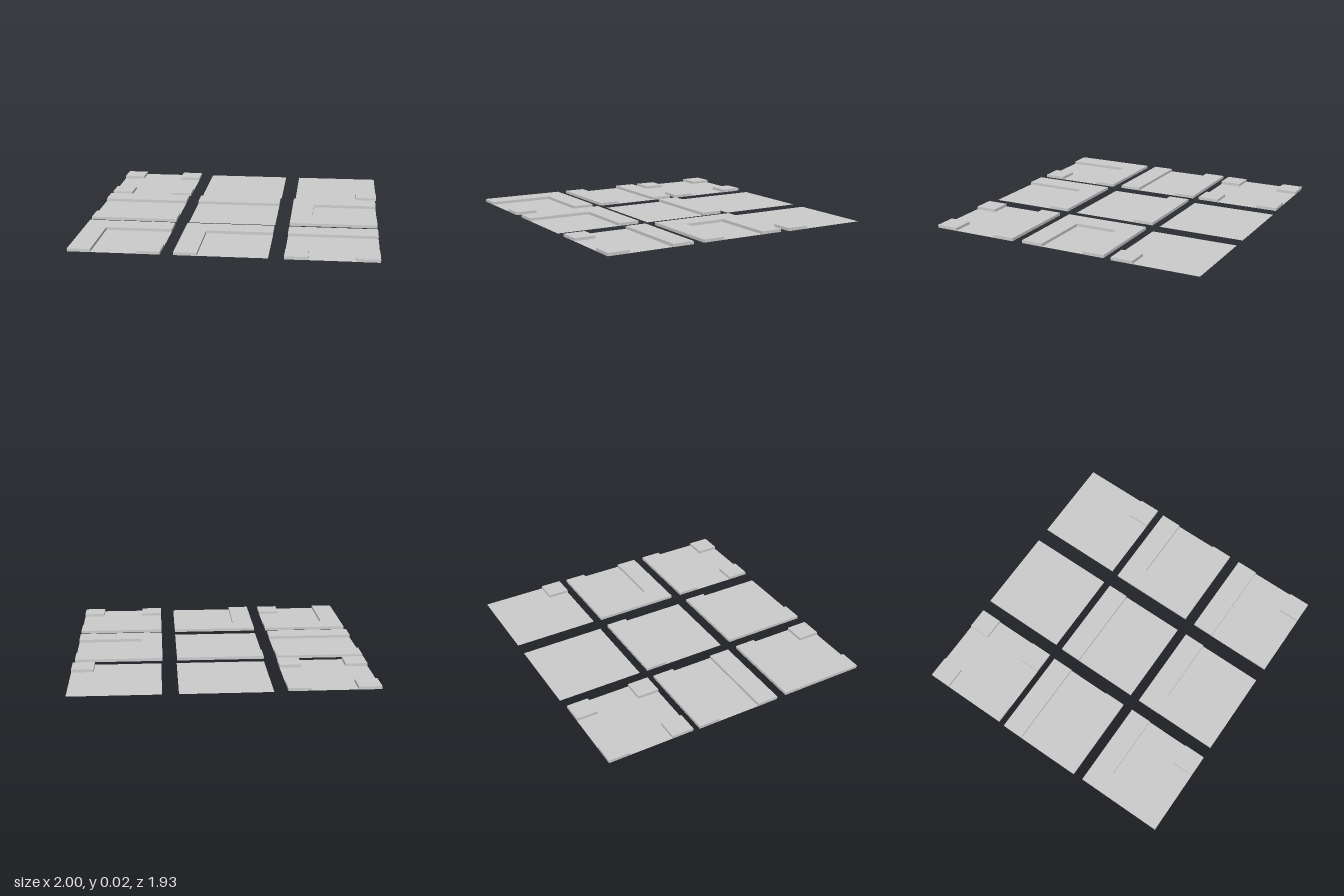
import * as THREE from 'three';

const H = 0.3;      // half a tile
const K = 0.15;     // inner edge of the pavement
const CURB = 0.02;  // pavement height

const material = new THREE.MeshStandardMaterial({ color: 0xcccccc, flatShading: true });
const roadMaterial = new THREE.MeshStandardMaterial({ color: 0xcccccc, side: THREE.DoubleSide });

// Pavement outlines as [x, z] points around the tile centre
const corner = (sx, sz) => [[sx * K, sz * K], [sx * H, sz * K], [sx * H, sz * H], [sx * K, sz * H]];
const strip = (sz) => [[-H, sz * K], [H, sz * K], [H, sz * H], [-H, sz * H]];
const bend = [[-H, -H], [H, -H], [H, -K], [-K, -K], [-K, H], [-H, H]];
const deadEnd = [[-H, -H], [H, -H], [H, -K], [-K, -K], [-K, K], [H, K], [H, H], [-H, H]];

// Lane dashes as [x, z, runs along z]
const FAR = 0.225, NEAR = 0.075;
const lane = [-FAR, -NEAR, NEAR, FAR].map((x) => [x, 0, false]);
const crossing = [[-FAR, 0, false], [FAR, 0, false], [0, -FAR, true], [0, FAR, true]];
const turn = [[NEAR, 0, false], [FAR, 0, false], [0, NEAR, true], [0, FAR, true]];

const tiles = [
  { name: 'crossroadsTile', at: [-0.695, -0.66], dashes: crossing,
    pavements: [corner(-1, -1), corner(1, -1), corner(-1, 1), corner(1, 1)] },
  { name: 'plainTile', at: [-0.005, -0.67], dashes: [], pavements: [] },
  { name: 'innerCornerTile', at: [0.7, -0.67], dashes: [[FAR, 0, false], [0, FAR, true]],
    pavements: [corner(1, 1)] },
  { name: 'straightTile', at: [-0.7, -0.015], dashes: lane, pavements: [strip(-1), strip(1)] },
  { name: 'wideRoadTile', at: [-0.01, -0.015], dashes: lane, pavements: [strip(-1)] },
  { name: 'deadEndTile', at: [0.69, -0.015], dashes: [[NEAR, 0, false], [FAR, 0, false]],
    pavements: [deadEnd] },
  { name: 'bendTile', at: [-0.695, 0.655], dashes: turn, pavements: [bend, corner(1, 1)] },
  { name: 'wideBendTile', at: [-0.01, 0.655], dashes: [[FAR, 0, false], [0, FAR, true]],
    pavements: [bend] },
  { name: 'junctionTile', at: [0.69, 0.66], dashes: [...lane, [0, FAR, true]],
    pavements: [strip(-1), corner(-1, 1), corner(1, 1)] },
];

function addMesh(parent, name, geometry, mat) {
  const mesh = new THREE.Mesh(geometry, mat);
  mesh.name = name;
  parent.add(mesh);
  return mesh;
}

// Raised slab from an outline on the ground
function pavementGeometry(points) {
  const shape = new THREE.Shape(points.map(([x, z]) => new THREE.Vector2(x, -z)));
  return new THREE.ExtrudeGeometry(shape, { depth: CURB, bevelEnabled: false }).rotateX(-Math.PI / 2);
}

function createTile({ name, at, pavements, dashes }) {
  const tile = new THREE.Group();
  tile.name = name;
  tile.position.set(at[0], 0, at[1]);

  // Thin road surface
  const road = new THREE.PlaneGeometry(2 * H, 2 * H).rotateX(-Math.PI / 2);
  addMesh(tile, 'roadSurface', road, roadMaterial).position.y = 0.0005;

  for (const outline of pavements) addMesh(tile, 'pavement', pavementGeometry(outline), material);

  // Painted lane dashes just above the road
  for (const [x, z, alongZ] of dashes) {
    const dash = new THREE.PlaneGeometry(alongZ ? 0.01 : 0.07, alongZ ? 0.07 : 0.01).rotateX(-Math.PI / 2);
    addMesh(tile, 'laneDash', dash, material).position.set(x, 0.0012, z);
  }
  return tile;
}

export function createModel() {
  const model = new THREE.Group();
  model.name = 'roadTileSet';
  for (const spec of tiles) model.add(createTile(spec));
  return model;
}
